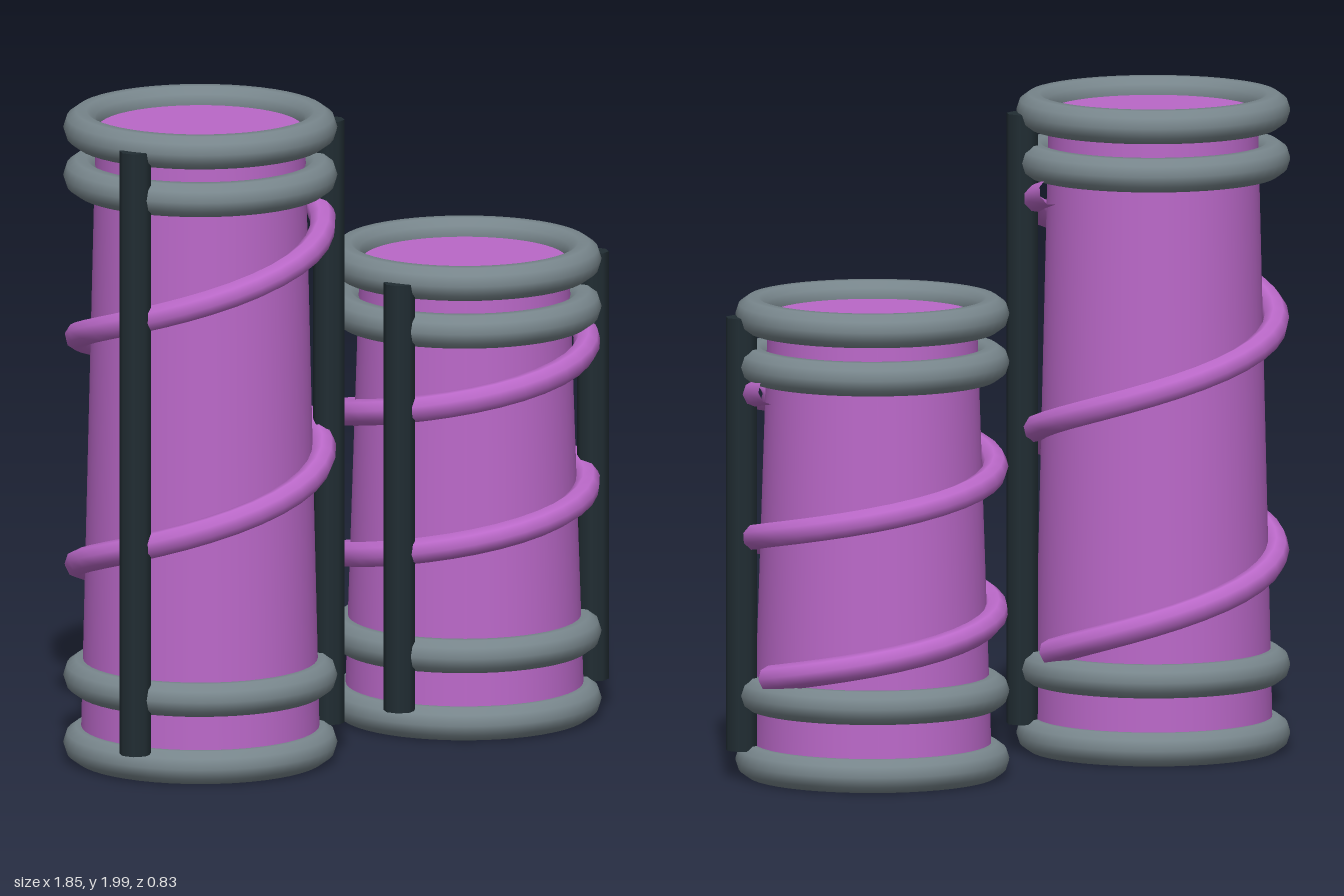
import * as THREE from 'three';

const bodyMat = new THREE.MeshStandardMaterial({ color: 0xba68c8 });
bodyMat.name = 'orchid purple';
const ringMat = new THREE.MeshStandardMaterial({ color: 0x78868c });
ringMat.name = 'steel grey';
const rodMat = new THREE.MeshStandardMaterial({ color: 0x212d33 });
rodMat.name = 'dark slate';

const RING_R = 0.36, RING_TUBE = 0.053;

// Rising coil: starts at +x, passes the back, then -x, then the front
class Coil extends THREE.Curve {
  constructor(radius, y0, y1, turns) {
    super();
    Object.assign(this, { radius, y0, y1, turns });
  }
  getPoint(t, target = new THREE.Vector3()) {
    const a = t * this.turns * Math.PI * 2;
    return target.set(
      this.radius * Math.cos(a),
      this.y0 + (this.y1 - this.y0) * t,
      -this.radius * Math.sin(a));
  }
}

function add(group, name, geometry, material, x = 0, y = 0, z = 0) {
  const mesh = new THREE.Mesh(geometry, material);
  mesh.name = name;
  mesh.position.set(x, y, z);
  group.add(mesh);
  return mesh;
}

function createTube(name, height, coilTop) {
  const tube = new THREE.Group();
  tube.name = name;
  const low = RING_TUBE, high = height - RING_TUBE;

  // Slightly tapered body, ending inside the end rings
  add(tube, 'body', new THREE.CylinderGeometry(0.315, 0.36, high - low, 48),
    bodyMat, 0, (low + high) / 2);

  // End rings and inner rings
  const ring = new THREE.TorusGeometry(RING_R, RING_TUBE, 10, 48).rotateX(Math.PI / 2);
  const rings = { bottomRing: low, lowerRing: 0.26, upperRing: high - 0.147, topRing: high };
  for (const [ringName, y] of Object.entries(rings)) add(tube, ringName, ring, ringMat, 0, y);

  // Coil wrapped twice around the body
  add(tube, 'coil', new THREE.TubeGeometry(new Coil(0.37, 0.325, coilTop, 2), 64, 0.04, 8), bodyMat);

  // Upright rods on both sides, towards the front
  const rod = new THREE.CylinderGeometry(0.048, 0.048, high - 0.09, 8);
  for (const side of [-1, 1]) {
    add(tube, side > 0 ? 'leftRod' : 'rightRod', rod, rodMat, side * 0.37, (high + 0.09) / 2, 0.155);
  }
  return tube;
}

export function createModel() {
  const model = new THREE.Group();
  model.name = 'coiledTubes';
  const tall = createTube('tallTube', 2, 1.725);
  tall.position.x = -0.505;
  const short = createTube('shortTube', 1.46, 1.2);
  short.position.x = 0.505;
  model.add(tall, short);
  return model;
}
